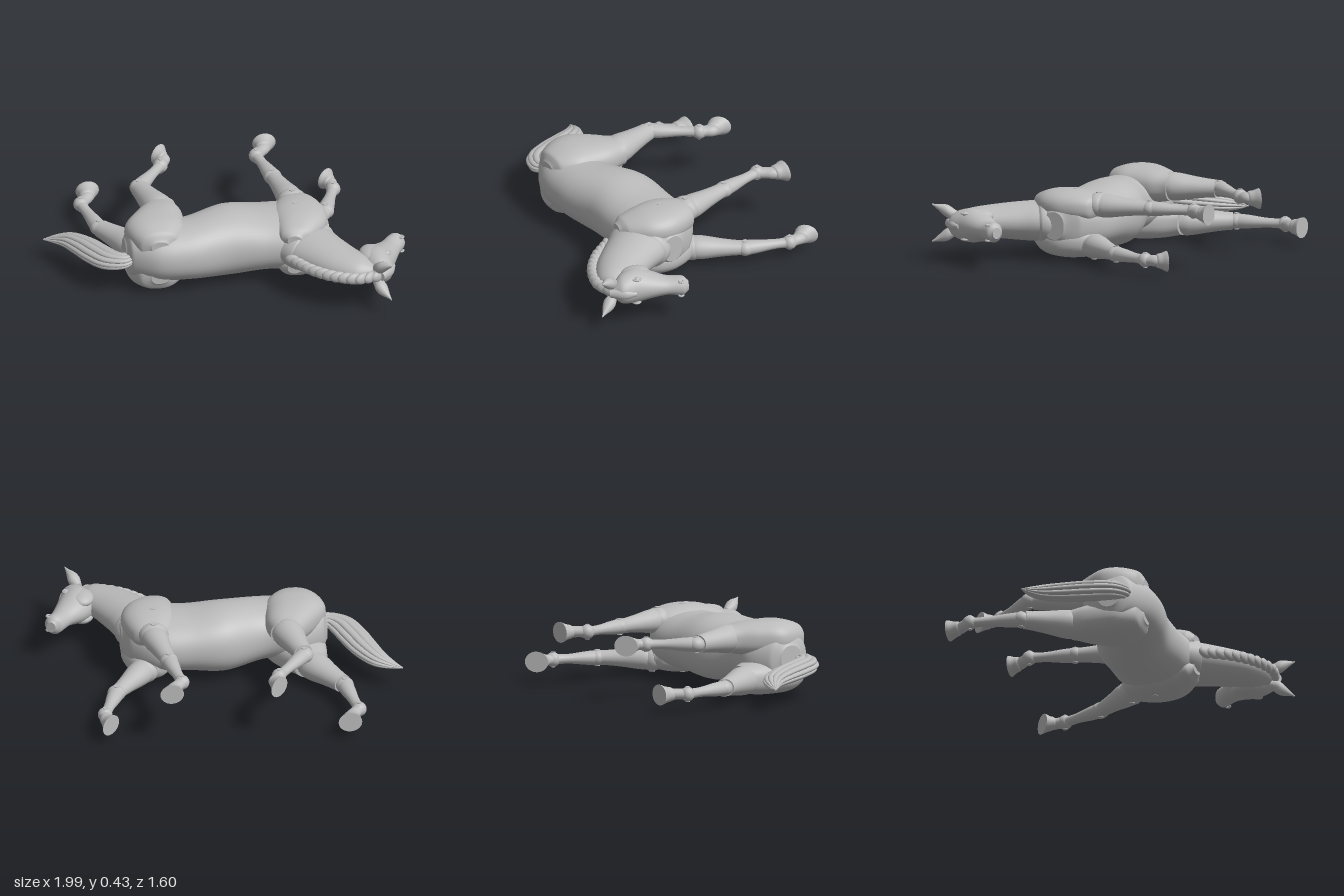
import * as THREE from 'three';

const MID = 0.217; // height of the body's symmetry plane (the horse lies on its side)
const LEG = 0.112; // distance of the legs from that plane

export function createModel() {
  const group = new THREE.Group();
  const grey = new THREE.MeshStandardMaterial({ color: 0xbcbcbc });
  grey.name = 'grey plastic';

  function add(name, geo, parent = group) {
    const mesh = new THREE.Mesh(geo, grey);
    mesh.name = name;
    parent.add(mesh);
    return mesh;
  }

  function addGroup(name) {
    const g = new THREE.Group();
    g.name = name;
    group.add(g);
    return g;
  }

  // Smooth body through sections [x, z, half width in plan, half height, y offset from MID]
  function loft(sections, { dir = null, power = 2, side = 1, sides = 28, per = 6 } = {}) {
    const path = new THREE.CatmullRomCurve3(
      sections.map(s => new THREE.Vector3(s[0], MID + side * (s[4] || 0), s[1])));
    const sizes = new THREE.SplineCurve(sections.map(s => new THREE.Vector2(s[2], s[3])));
    const steps = (sections.length - 1) * per, pos = [], idx = [];
    const shape = v => Math.sign(v) * Math.pow(Math.abs(v), 2 / power);
    for (let i = 0; i <= steps; i++) {
      const t = i / steps, p = path.getPoint(t), size = sizes.getPoint(t);
      const d = dir ? new THREE.Vector3(dir[0], 0, dir[1]) : path.getTangent(t).setY(0);
      d.normalize();
      const w = Math.max(0.002, size.x), h = Math.max(0.002, size.y);
      for (let j = 0; j < sides; j++) {
        const a = j / sides * Math.PI * 2, c = shape(Math.cos(a)) * w;
        pos.push(p.x + d.z * c, p.y + shape(Math.sin(a)) * h, p.z - d.x * c);
      }
    }
    for (let i = 0; i < steps; i++) for (let j = 0; j < sides; j++) {
      const a = i * sides + j, b = i * sides + (j + 1) % sides;
      idx.push(a, b, a + sides, b, b + sides, a + sides);
    }
    // flat end caps with their own corners
    for (const end of [0, 1]) {
      const from = end * steps * sides, base = pos.length / 3, c = path.getPoint(end);
      pos.push(...pos.slice(from * 3, (from + sides) * 3), c.x, c.y, c.z);
      for (let j = 0; j < sides; j++) {
        const a = base + j, b = base + (j + 1) % sides;
        idx.push(...(end ? [a, b, base + sides] : [b, a, base + sides]));
      }
    }
    const geo = new THREE.BufferGeometry();
    geo.setAttribute('position', new THREE.Float32BufferAttribute(pos, 3));
    geo.setIndex(idx);
    geo.computeVertexNormals();
    return geo;
  }

  const ball = (x, y, z, rx, ry, rz) =>
    new THREE.SphereGeometry(1, 24, 16).scale(rx, ry, rz).translate(x, y, z);
  const pin = (x, y, z, r, h) =>
    new THREE.CylinderGeometry(r, r, h, 20).translate(x, y, z);
  const ring = (x, y, z, r, tube) =>
    new THREE.TorusGeometry(r, tube, 8, 20).rotateX(Math.PI / 2).translate(x, y, z);
  const mix = (a, b, u) => [a[0] + (b[0] - a[0]) * u, a[1] + (b[1] - a[1]) * u];

  // Torso: x, belly edge, back edge, half height
  add('torso', loft([
    [-0.6, 0.08, 0.22, 0.08], [-0.57, 0.02, 0.275, 0.135], [-0.43, -0.06, 0.355, 0.162],
    [-0.25, -0.03, 0.365, 0.165], [0, -0.12, 0.325, 0.19], [0.2, -0.13, 0.335, 0.17],
    [0.4, -0.12, 0.36, 0.165], [0.54, -0.02, 0.27, 0.145], [0.585, 0.07, 0.2, 0.08],
  ].map(([x, a, b, h]) => [x, (a + b) / 2, (b - a) / 2, h]),
  { dir: [1, 0], power: 2.2, sides: 48, per: 8 }));

  // Neck with its rounded collar
  add('collar', loft([[0.4, 0.22, 0.18, 0.12], [0.44, 0.265, 0.186, 0.133],
    [0.465, 0.3, 0.18, 0.128], [0.475, 0.315, 0.165, 0.11]], { dir: [0.59, 0.81], sides: 40 }));
  add('neck', loft([[0.44, 0.27, 0.178, 0.118], [0.51, 0.39, 0.157, 0.11],
    [0.6, 0.52, 0.135, 0.095], [0.69, 0.61, 0.105, 0.08], [0.76, 0.655, 0.05, 0.05]],
  { sides: 36 }));

  // Head
  const head = addGroup('head');
  add('skull', loft([[0.775, 0.69, 0.03, 0.035], [0.78, 0.63, 0.088, 0.082],
    [0.79, 0.54, 0.105, 0.098], [0.835, 0.46, 0.092, 0.074], [0.893, 0.39, 0.066, 0.053],
    [0.947, 0.318, 0.053, 0.057], [0.965, 0.292, 0.027, 0.032]],
  { dir: [0.45, -0.9], sides: 36 }), head);
  add('forelock', loft([[0.79, 0.71, 0.02, 0.025], [0.85, 0.65, 0.022, 0.03],
    [0.88, 0.59, 0.012, 0.012]]), head);
  for (const s of [1, -1]) {
    add('eye', ball(0.845, MID + s * 0.072, 0.565, 0.022, 0.014, 0.018), head);
    add('eyelid', ring(0.845, MID + s * 0.075, 0.567, 0.023, 0.005), head);
    add('cheek', ball(0.765, MID + s * 0.055, 0.525, 0.07, 0.04, 0.09), head);
    add('nostril', ring(0.972, MID + s * 0.045, 0.345, 0.013, 0.006), head);
    add('ear', loft([[0.765, 0.665, 0.022, 0.024, 0.045], [0.79, 0.72, 0.036, 0.038, 0.068],
      [0.832, 0.795, 0.003, 0.004, 0.108]], { side: s, sides: 16 }), head);
  }

  // Mane: slanted locks along the crest
  const crest = new THREE.CatmullRomCurve3([[0.33, 0.425], [0.41, 0.55], [0.53, 0.657],
    [0.66, 0.708], [0.77, 0.695]].map(([x, z]) => new THREE.Vector3(x, MID, z)));
  for (let i = 0; i < 13; i++) {
    const t = crest.getTangentAt(i / 12);
    const lock = add('maneLock', new THREE.SphereGeometry(1, 16, 10).scale(0.05, 0.034, 0.024));
    lock.position.copy(crest.getPointAt(i / 12));
    lock.rotation.y = Math.atan2(-t.z, t.x) + 0.5;
  }

  // Tail: strands around a core, swelling in the middle and sinking to the tip
  const tail = addGroup('tail');
  const tailCurve = new THREE.SplineCurve([[-0.55, 0.21], [-0.63, 0.225], [-0.71, 0.155],
    [-0.77, 0.01], [-0.845, -0.14], [-0.92, -0.205], [-0.995, -0.24]]
    .map(p => new THREE.Vector2(...p)));
  function tailStrand(name, angle, offset, thickness) {
    add(name, loft(Array.from({ length: 8 }, (_, i) => {
      const u = i / 7, p = tailCurve.getPoint(u), t = tailCurve.getTangent(u);
      const w = 0.005 + 0.079 * Math.sin(Math.PI * (0.13 + 0.87 * u));
      const h = 0.65 * w, c = Math.cos(angle) * w * offset;
      return [p.x + t.y * c, p.y - t.x * c, w * thickness, h * thickness,
        Math.sin(angle) * h * offset - 0.088 * u];
    }), { sides: 12, per: 5 }), tail);
  }
  tailStrand('tailCore', 0, 0, 0.85);
  for (let k = 0; k < 10; k++) tailStrand('tailStrand', k / 10 * Math.PI * 2, 0.75, 0.28);

  // Legs: joint positions in plan; side 1 lies on top
  const hind = { name: 'hindLeg', top: 0.09, knee: 0.056 };
  const front = { name: 'frontLeg', top: 0.075, knee: 0.046 };
  const legs = [
    { ...hind, side: 1, hip: [-0.345, -0.1], hock: [-0.415, -0.385], ankle: [-0.245, -0.615],
      coronet: [-0.215, -0.68], sole: [-0.233, -0.748], dir: [-0.67, -0.74] },
    { ...hind, side: -1, hip: [-0.49, -0.1], hock: [-0.65, -0.36], ankle: [-0.702, -0.65],
      coronet: [-0.65, -0.725], sole: [-0.635, -0.8], dir: [0, -1] },
    { ...front, side: 1, hip: [0.415, -0.08], hock: [0.36, -0.37], ankle: [0.313, -0.63],
      coronet: [0.37, -0.705], sole: [0.385, -0.77], dir: [0, -1] },
    { ...front, side: -1, hip: [0.485, -0.08], hock: [0.655, -0.315], ankle: [0.747, -0.56],
      coronet: [0.745, -0.63], sole: [0.727, -0.69], dir: [-0.66, -0.75] },
  ];
  for (const { name, top, knee, side, hip, hock, ankle, coronet, sole, dir } of legs) {
    const g = addGroup(name), y = MID + side * LEG;
    const section = (p, w, h = w * 0.9) => [...p, w, h, LEG];
    const bone = (a, b, u, w) => section(mix(a, b, u), w);
    add('upperLeg', loft([bone(hip, hock, -0.15, top * 0.9), bone(hip, hock, 0.1, top),
      bone(hip, hock, 0.55, (top + knee) / 2 - 0.004), bone(hip, hock, 0.93, knee)], { side }), g);
    add('lowerLeg', loft([section(hock, 0.047), bone(hock, ankle, 0.25, 0.043),
      bone(hock, ankle, 0.6, 0.032), bone(hock, ankle, 0.85, 0.031),
      section(ankle, 0.038)], { side }), g);
    // joints with round pins
    add('kneeJoint', ball(hock[0], y, hock[1], 0.052, 0.045, 0.052), g);
    add('kneePin', pin(hock[0], y, hock[1], 0.016, 0.094), g);
    add('ankleJoint', ball(ankle[0], y, ankle[1], 0.042, 0.042, 0.042), g);
    add('anklePin', pin(ankle[0], y, ankle[1], 0.013, 0.088), g);
    // pastern running into a hoof that flares to a flat sole
    add('pastern', loft([section(ankle, 0.037), bone(ankle, coronet, 0.5, 0.035),
      section(coronet, 0.037), bone(coronet, sole, 0.4, 0.035)], { side }), g);
    add('hoof', loft([bone(coronet, sole, -0.12, 0.028), bone(coronet, sole, 0.08, 0.044),
      bone(coronet, sole, 0.5, 0.052), section(sole, 0.068, 0.06)], { side, dir }), g);
  }

  // Haunches, shoulder plates and their pivots on both flanks
  for (const side of [1, -1]) {
    const hip = side > 0 ? -0.345 : -0.48, elbow = side > 0 ? 0.415 : 0.47;
    add('haunch', loft([[-0.42, 0.318, 0.05, 0.035, 0.1], [-0.42, 0.29, 0.11, 0.08, 0.1],
      [-0.417, 0.2, 0.162, 0.1, 0.108], [-0.415, 0.1, 0.175, 0.105, 0.108],
      [(hip - 0.41) / 2, -0.01, 0.143, 0.097, 0.108], [hip, -0.12, 0.094, 0.078, 0.108]],
    { side, power: 2.4, dir: [0, -1], sides: 40 }));
    add('shoulder', loft([[0.35, 0.365, 0.04, 0.03, 0.09], [0.365, 0.33, 0.09, 0.06, 0.092],
      [0.405, 0.23, 0.143, 0.087, 0.1], [0.42, 0.12, 0.163, 0.095, 0.102],
      [0.43, 0.02, 0.138, 0.088, 0.102], [0.435, -0.06, 0.095, 0.07, 0.1],
      [0.435, -0.095, 0.04, 0.035, 0.1]],
    { side, power: 2.3, dir: [0.15, -1], sides: 40 }));
    add('elbow', ball(elbow, MID + side * 0.115, -0.065, 0.085, 0.072, 0.07));
    add('elbowPin', pin(elbow, MID + side * 0.18, -0.065, 0.018, 0.02));
    add('shoulderPin', pin(0.4, MID + side * 0.19, 0.1, 0.018, 0.016));
    add('hipPin', pin(hip - 0.01, MID + side * 0.17, -0.12, 0.018, 0.03));
  }
  return group;
}
